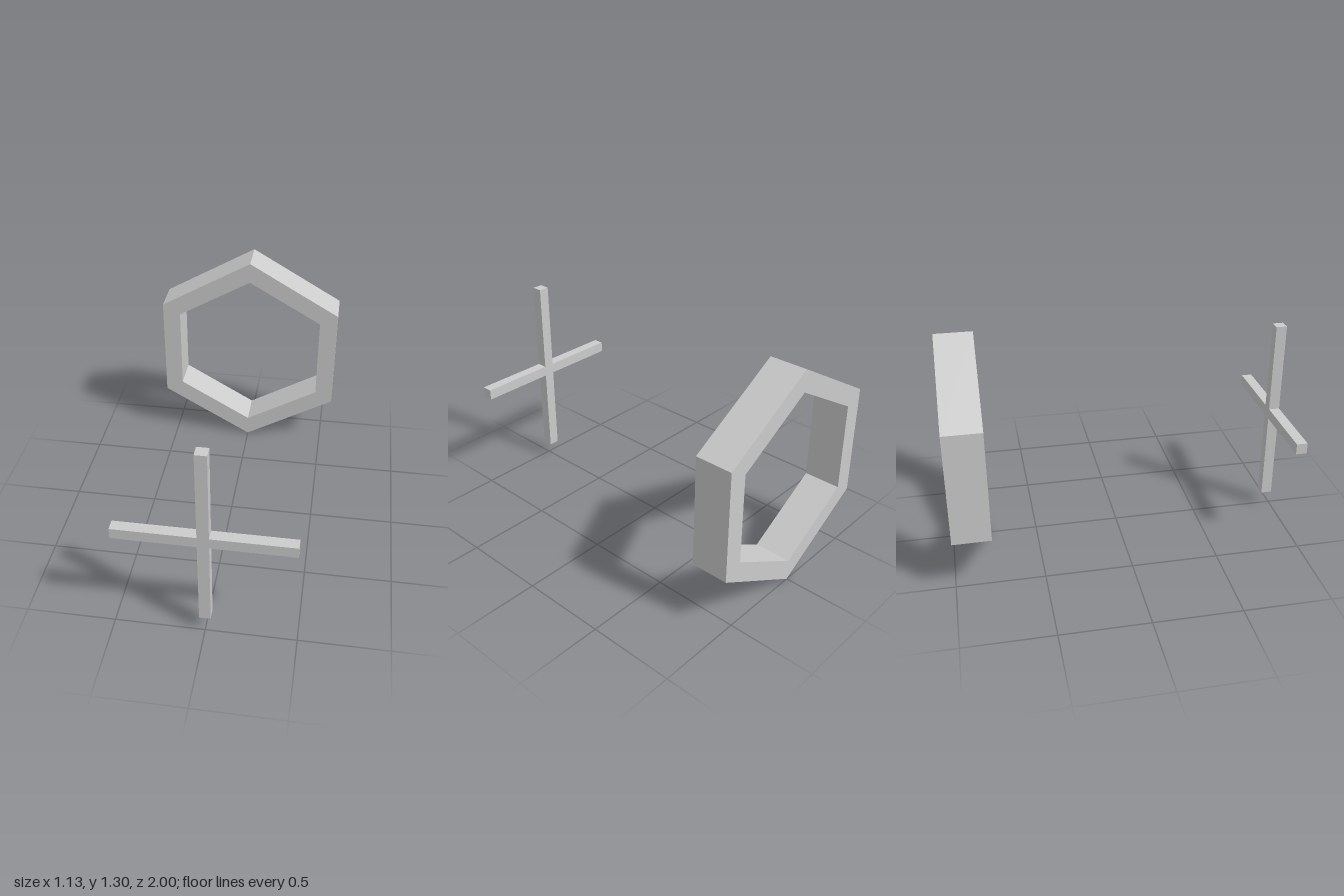
import * as THREE from 'three';

const CENTER_Y = 0.6525;

// Corner points of a pointy-top hexagon
function hexagon(radius) {
  return Array.from({ length: 6 }, (_, i) => {
    const a = Math.PI / 2 + (i * Math.PI) / 3;
    return new THREE.Vector2(Math.cos(a) * radius, Math.sin(a) * radius);
  });
}

// Extrudes a shape from zBack to zFront
function slab(name, shape, y, zBack, zFront, material) {
  const geometry = new THREE.ExtrudeGeometry(shape, { depth: zFront - zBack, bevelEnabled: false });
  const mesh = new THREE.Mesh(geometry, material);
  mesh.name = name;
  mesh.position.set(0, y, zBack);
  return mesh;
}

export function createModel() {
  const group = new THREE.Group();
  group.name = 'hexagonAndCross';
  const material = new THREE.MeshStandardMaterial({ color: 0xcccccc });

  // Hexagonal ring at the back
  const ring = new THREE.Shape(hexagon(0.6525));
  ring.holes.push(new THREE.Path(hexagon(0.525).reverse()));
  group.add(slab('hexagonRing', ring, CENTER_Y, -1, -0.785, material));

  // Thin cross at the front, joined into one solid
  const w = 0.0315, h = 0.559, l = 0.48;
  const cross = new THREE.Shape([
    [w, w], [w, h], [-w, h], [-w, w], [-l, w], [-l, -w],
    [-w, -w], [-w, -h], [w, -h], [w, -w], [l, -w], [l, w],
  ].map(([x, y]) => new THREE.Vector2(x, y)));
  group.add(slab('cross', cross, CENTER_Y, 0.937, 1, material));

  return group;
}
